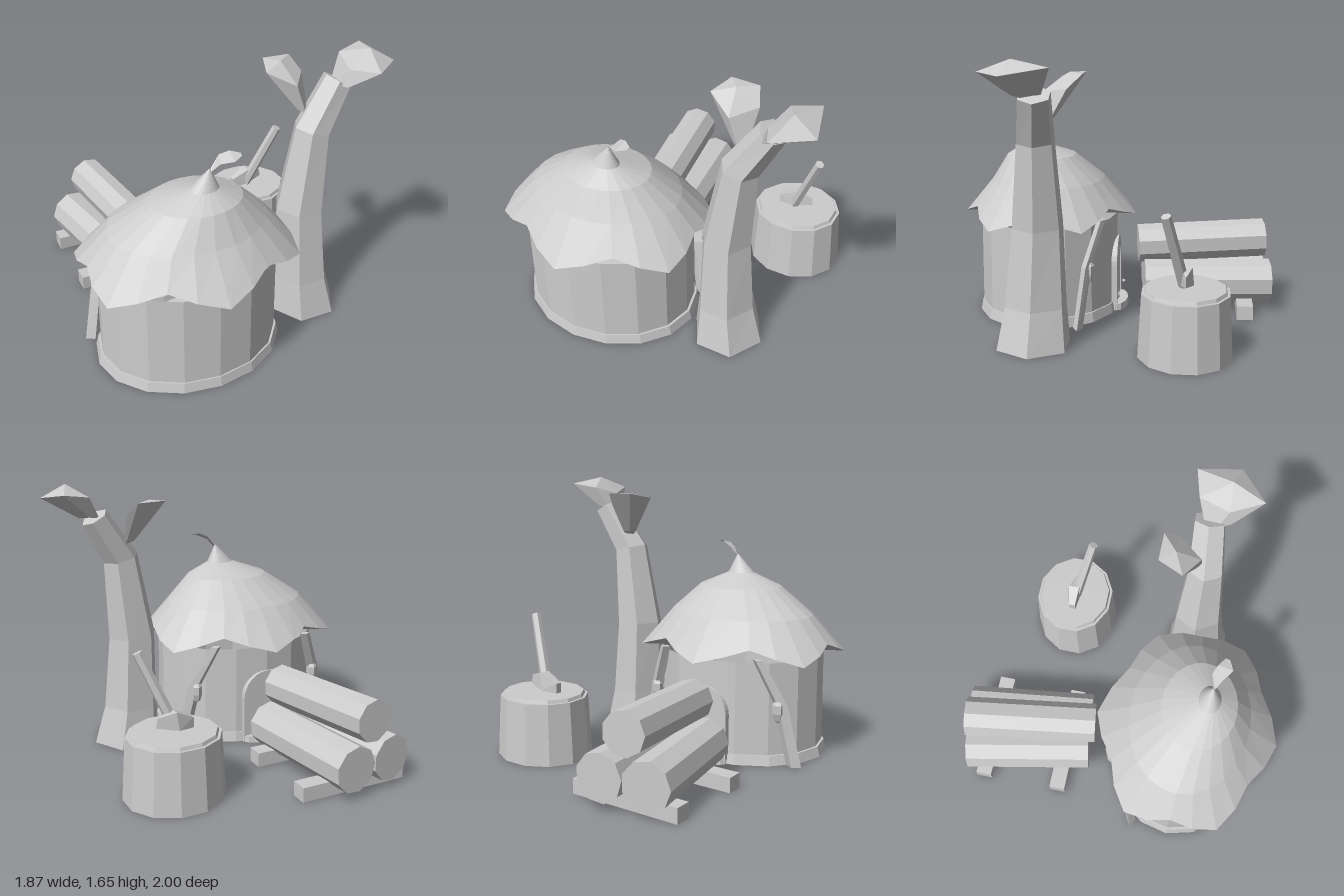
import * as THREE from 'three';
import { ConvexGeometry } from 'three/addons/geometries/ConvexGeometry.js';

const V = (x, y, z) => new THREE.Vector3(x, y, z);
const UP = V(0, 1, 0);

export function createModel() {
  const group = new THREE.Group();
  const clay = new THREE.MeshStandardMaterial({ color: 0xcccccc, flatShading: true, side: THREE.DoubleSide });
  clay.name = 'light grey';

  function add(name, geometry, x = 0, y = 0, z = 0) {
    const mesh = new THREE.Mesh(geometry, clay);
    mesh.name = name;
    mesh.position.set(x, y, z);
    group.add(mesh);
    return mesh;
  }

  // Elliptical ring of points; tilt lifts the low-x side
  function ring(n, cx, y, cz, rx, rz, tilt = 0) {
    return Array.from({ length: n }, (_, i) => {
      const t = (i / n) * Math.PI * 2;
      return V(cx + Math.cos(t) * rx, y - Math.cos(t) * tilt, cz + Math.sin(t) * rz);
    });
  }

  // Skin a stack of rings with equal point counts
  function loft(rings, capStart = false, capEnd = false) {
    const pos = [];
    const tri = (...points) => points.forEach((p) => pos.push(p.x, p.y, p.z));
    const middle = (r) => r.reduce((s, p) => s.add(p), V(0, 0, 0)).divideScalar(r.length);
    const n = rings[0].length;
    const first = rings[0], last = rings[rings.length - 1];
    const c0 = middle(first), c1 = middle(last);
    for (let i = 0; i < n; i++) {
      const j = (i + 1) % n;
      for (let k = 0; k < rings.length - 1; k++) {
        const a = rings[k], b = rings[k + 1];
        tri(a[i], b[i], a[j]);
        tri(a[j], b[i], b[j]);
      }
      if (capStart) tri(c0, first[i], first[j]);
      if (capEnd) tri(c1, last[j], last[i]);
    }
    const g = new THREE.BufferGeometry();
    g.setAttribute('position', new THREE.Float32BufferAttribute(pos, 3));
    g.computeVertexNormals();
    return g;
  }

  // Prism between two points
  function bar(name, a, b, r0, r1, sides) {
    const d = b.clone().sub(a);
    const mid = a.clone().add(b).multiplyScalar(0.5);
    const mesh = add(name, new THREE.CylinderGeometry(r1, r0, d.length(), sides), mid.x, mid.y, mid.z);
    mesh.quaternion.setFromUnitVectors(UP, d.normalize());
  }

  // Hut body and base trim
  const hx = -0.34, hz = 0.44;
  add('hutWall', loft([
    ring(16, hx, 0.05, hz, 0.53, 0.445),
    ring(16, hx, 0.615, hz, 0.525, 0.44),
  ]));
  add('hutBase', loft([
    ring(16, hx, 0, hz, 0.56, 0.463),
    ring(16, hx, 0.06, hz, 0.545, 0.452),
    ring(16, hx, 0.06, hz, 0.52, 0.435),
  ], true));

  // Scalloped thatch roof: six low tips with raised middles, underside drawn to the centre
  const eave = Array.from({ length: 24 }, (_, i) => {
    const t = (i / 24) * Math.PI * 2;
    const tip = [0, 0.5, 1, 0.5][i % 4];
    return V(hx + Math.cos(t) * (0.585 + 0.079 * tip), 0.70 - 0.09 * tip,
      hz + Math.sin(t) * (0.476 + 0.084 * tip));
  });
  add('roof', loft([
    eave,
    ring(24, -0.335, 0.845, 0.445, 0.46, 0.36),
    ring(24, -0.30, 1.0, 0.485, 0.265, 0.22),
    ring(24, -0.275, 1.072, 0.535, 0.085, 0.065),
    ring(24, -0.245, 1.185, 0.54, 0.003, 0.003),
  ]));
  add('roofUnderside', loft([ring(24, hx, 0.615, hz, 0.003, 0.003), eave]));

  // Curled leaf on the roof peak
  const left = [V(-0.25, 1.17, 0.54), V(-0.18, 1.245, 0.515), V(-0.13, 1.268, 0.54), V(-0.08, 1.26, 0.575)];
  const right = [V(-0.24, 1.17, 0.55), V(-0.2, 1.22, 0.58), V(-0.14, 1.245, 0.628), V(-0.085, 1.255, 0.6)];
  const leaf = [];
  for (let i = 0; i < 3; i++) {
    for (const p of [left[i], right[i], left[i + 1], right[i], right[i + 1], left[i + 1]]) leaf.push(p);
  }
  const leafGeometry = new THREE.BufferGeometry().setFromPoints(leaf);
  leafGeometry.computeVertexNormals();
  add('roofLeaf', leafGeometry);

  // Arched door with frame, knob and step on the back wall
  function arch(w, spring) {
    const s = new THREE.Shape();
    s.moveTo(-w, 0);
    s.lineTo(w, 0);
    s.lineTo(w, spring);
    s.absarc(0, spring, w, 0, Math.PI, false);
    s.lineTo(-w, 0);
    return s;
  }
  const frame = arch(0.165, 0.29);
  frame.holes.push(arch(0.125, 0.29));
  add('doorFrame', new THREE.ExtrudeGeometry(frame, { depth: 0.06, bevelEnabled: false, curveSegments: 8 }), hx, 0.005, -0.012);
  add('door', new THREE.ExtrudeGeometry(arch(0.13, 0.29), { depth: 0.04, bevelEnabled: false, curveSegments: 8 }), hx, 0.005, -0.004);
  add('doorKnob', new THREE.IcosahedronGeometry(0.012, 0), -0.25, 0.18, -0.05);
  add('doorStep', loft([
    ring(12, hx, 0, 0, 0.17, 0.075),
    ring(12, hx, 0.04, 0, 0.165, 0.07),
  ], false, true));

  // Bowed posts with hanging lanterns either side of the door
  for (const s of [-1, 1]) {
    add('doorPost', loft([
      ring(4, hx + s * 0.51, 0, 0.195, 0.05, 0.03),
      ring(4, hx + s * 0.44, 0.37, 0.15, 0.045, 0.03),
      ring(4, hx + s * 0.325, 0.64, 0.07, 0.035, 0.026),
    ], true, true));
    add('lantern', new THREE.LatheGeometry([[0, -0.08], [0.02, -0.065], [0.034, -0.02], [0.034, 0.03], [0.018, 0.055], [0, 0.07]]
      .map((p) => new THREE.Vector2(...p)), 6), hx + s * 0.43, 0.345, 0.135);
  }

  // Bent six-sided tree trunk
  add('trunk', loft([
    ring(6, 0.46, 0, 0.412, 0.218, 0.226),
    ring(6, 0.435, 0.24, 0.4, 0.175, 0.19),
    ring(6, 0.42, 0.7, 0.385, 0.15, 0.155, 0.01),
    ring(6, 0.482, 1.195, 0.378, 0.108, 0.113, 0.025),
    ring(6, 0.648, 1.46, 0.35, 0.073, 0.096, 0.042),
  ], true, true));

  // Foliage clumps: stem flaring to a polygon rim with a shallow cap
  function clump(stem, spread, rim, cap) {
    const c = rim.reduce((s, p) => s.add(p), V(0, 0, 0)).divideScalar(rim.length);
    const base = rim.map((p) => p.clone().sub(c).multiplyScalar(spread).add(stem));
    add('foliage', loft([base, rim, rim.map(() => cap)], true));
  }
  clump(V(0.45, 1.3, 0.31), 0.28,
    [V(0.5, 1.48, 0.2), V(0.39, 1.46, 0.345), V(0.237, 1.535, 0.26), V(0.29, 1.565, 0.115), V(0.46, 1.56, 0.117)],
    V(0.36, 1.565, 0.2));
  clump(V(0.66, 1.455, 0.38), 0.42,
    [V(0.93, 1.575, 0.48), V(0.735, 1.585, 0.635), V(0.66, 1.55, 0.45), V(0.70, 1.59, 0.27), V(0.86, 1.615, 0.23)],
    V(0.79, 1.655, 0.44));

  // Chopping stump, open underneath
  const stump = add('stump', new THREE.LatheGeometry(
    [[0.297, 0], [0.275, 0.37], [0.258, 0.37], [0.25, 0.39], [0, 0.39]].map((p) => new THREE.Vector2(...p)), 12)
    .rotateY(Math.PI / 12), 0.515, 0, -0.46);
  stump.scale.z = 0.92;

  // Axe stuck in the stump
  bar('axeHandle', V(0.5, 0.4, -0.45), V(0.675, 0.83, -0.35), 0.034, 0.029, 6);
  add('axeHead', new ConvexGeometry([
    V(0.4, 0.39, -0.475), V(0.4, 0.45, -0.475), V(0.4, 0.39, -0.435), V(0.4, 0.45, -0.435),
    V(0.5, 0.4, -0.505), V(0.51, 0.505, -0.495), V(0.5, 0.4, -0.42), V(0.51, 0.505, -0.425),
    V(0.62, 0.42, -0.46), V(0.61, 0.475, -0.46),
  ]));

  // Stacked logs on two open-bottomed sleepers
  bar('lowerLog', V(-0.47, 0.185, -0.165), V(-0.615, 0.185, -0.945), 0.139, 0.139, 9);
  bar('lowerLog', V(-0.25, 0.185, -0.185), V(-0.345, 0.185, -0.985), 0.139, 0.139, 9);
  bar('upperLog', V(-0.36, 0.405, -0.135), V(-0.48, 0.435, -0.95), 0.125, 0.125, 9);
  for (const z of [-0.325, -0.825]) {
    const corners = (y) => [[-0.075, -0.05], [-0.075, 0.05], [-0.76, 0.05], [-0.76, -0.05]].map(([x, dz]) => V(x, y, z + dz));
    add('sleeper', loft([corners(0), corners(0.088)], false, true));
  }

  return group;
}
